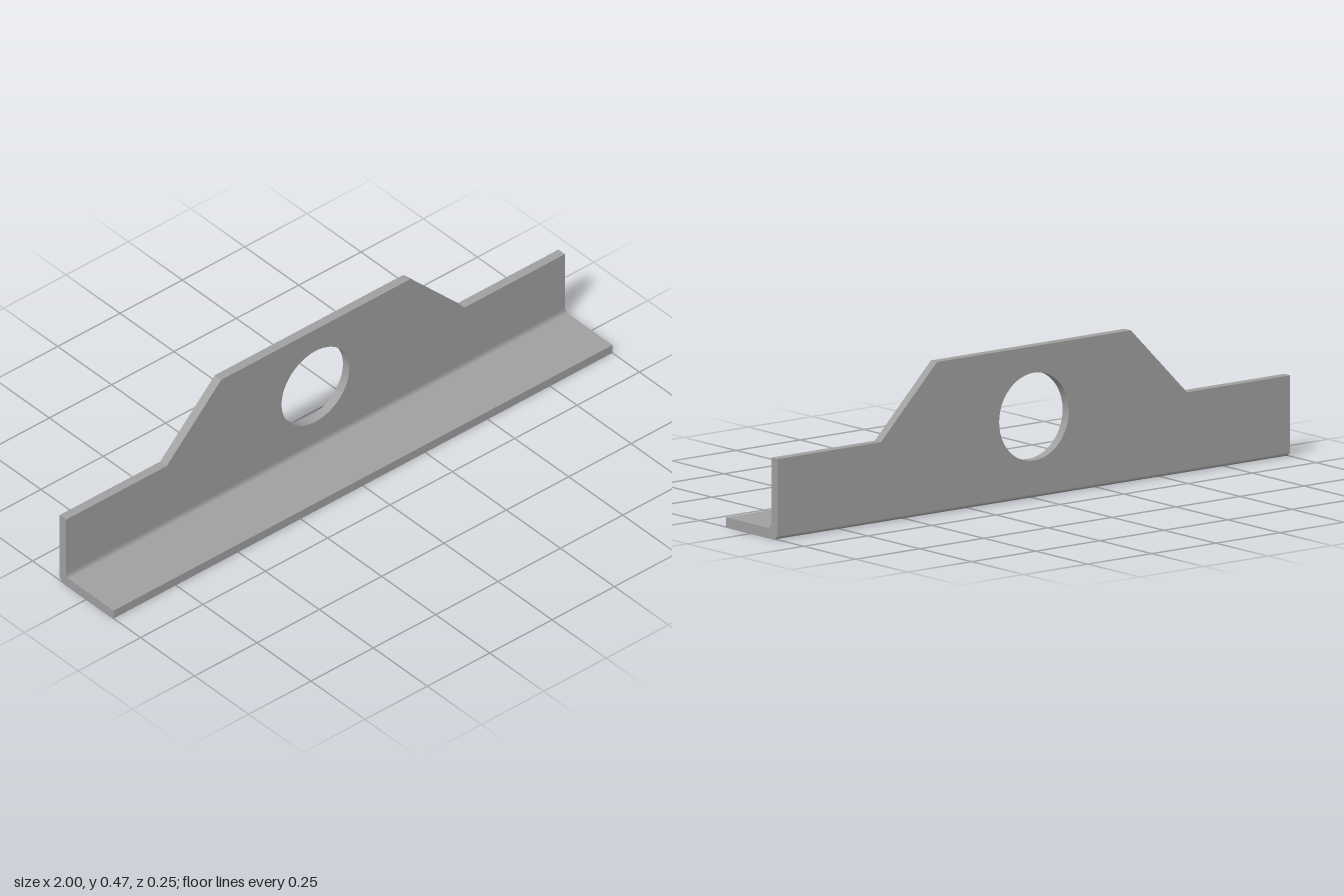
import * as THREE from 'three';
import { mergeGeometries, toCreasedNormals } from 'three/addons/utils/BufferGeometryUtils.js';

const SEAM = 0.042;   // height where the bent foot meets the upright plate
const BACK = -0.125, THICK = 0.03, BEND = 0.012;

const shapeOf = (pts) => new THREE.Shape(pts.map(([x, y]) => new THREE.Vector2(x, y)));

// Drop the hidden triangles lying on the seam, so the two pieces join into one skin
function openSeam(geo) {
  const p = geo.attributes.position, pos = [];
  const onSeam = (i) => Math.abs(p.getY(i) - SEAM) < 1e-5;
  for (let i = 0; i < p.count; i += 3) {
    if (onSeam(i) && onSeam(i + 1) && onSeam(i + 2)) continue;
    for (let k = i; k < i + 3; k++) pos.push(p.getX(k), p.getY(k), p.getZ(k));
  }
  const out = new THREE.BufferGeometry();
  out.setAttribute('position', new THREE.Float32BufferAttribute(pos, 3));
  out.computeVertexNormals();
  return out;
}

// Upright plate with a raised middle and a round hole
function uprightGeometry() {
  const right = [[1, SEAM], [1, 0.25], [0.597, 0.25], [0.378, 0.47]];
  const left = right.map(([x, y]) => [-x, y]).reverse();
  const shape = shapeOf([...right, ...left]);
  const hole = new THREE.Path();
  hole.absarc(0, 0.252, 0.136, 0, Math.PI * 2, true);
  shape.holes.push(hole);
  const geo = new THREE.ExtrudeGeometry(shape, { depth: THICK, bevelEnabled: false, curveSegments: 24 });
  geo.translate(0, 0, BACK);
  return toCreasedNormals(openSeam(geo), 0.4);
}

// Foot and bend: an angle section swept along x
function footGeometry() {
  const b = -BACK;
  const shape = shapeOf([
    [BACK, 0], [b - BEND, 0], [b, BEND], [b, SEAM],
    [b - THICK, SEAM], [b - THICK - BEND, THICK], [BACK, THICK],
  ]);
  let geo = new THREE.ExtrudeGeometry(shape, { depth: 2, bevelEnabled: false });
  geo.rotateY(Math.PI / 2).translate(-1, 0, 0);
  geo = openSeam(geo);
  // Blend the two bend faces smoothly into the flat faces beside them
  const p = geo.attributes.position, n = geo.attributes.normal;
  for (let i = 0; i < p.count; i++) {
    const ny = n.getY(i), nz = n.getZ(i), y = p.getY(i);
    if (Math.abs(ny) < 0.1 || Math.abs(nz) < 0.1) continue;
    const flat = y < 0.005 || Math.abs(y - THICK) < 0.003;
    n.setXYZ(i, 0, flat ? Math.sign(ny) : 0, flat ? 0 : Math.sign(nz));
  }
  return geo;
}

export function createModel() {
  const group = new THREE.Group();
  group.name = 'angleBracket';
  const metal = new THREE.MeshStandardMaterial({ color: 0xa0a0a0 });
  metal.name = 'greyMetal';
  const bracket = new THREE.Mesh(mergeGeometries([uprightGeometry(), footGeometry()]), metal);
  bracket.name = 'bentPlate';
  group.add(bracket);
  return group;
}
